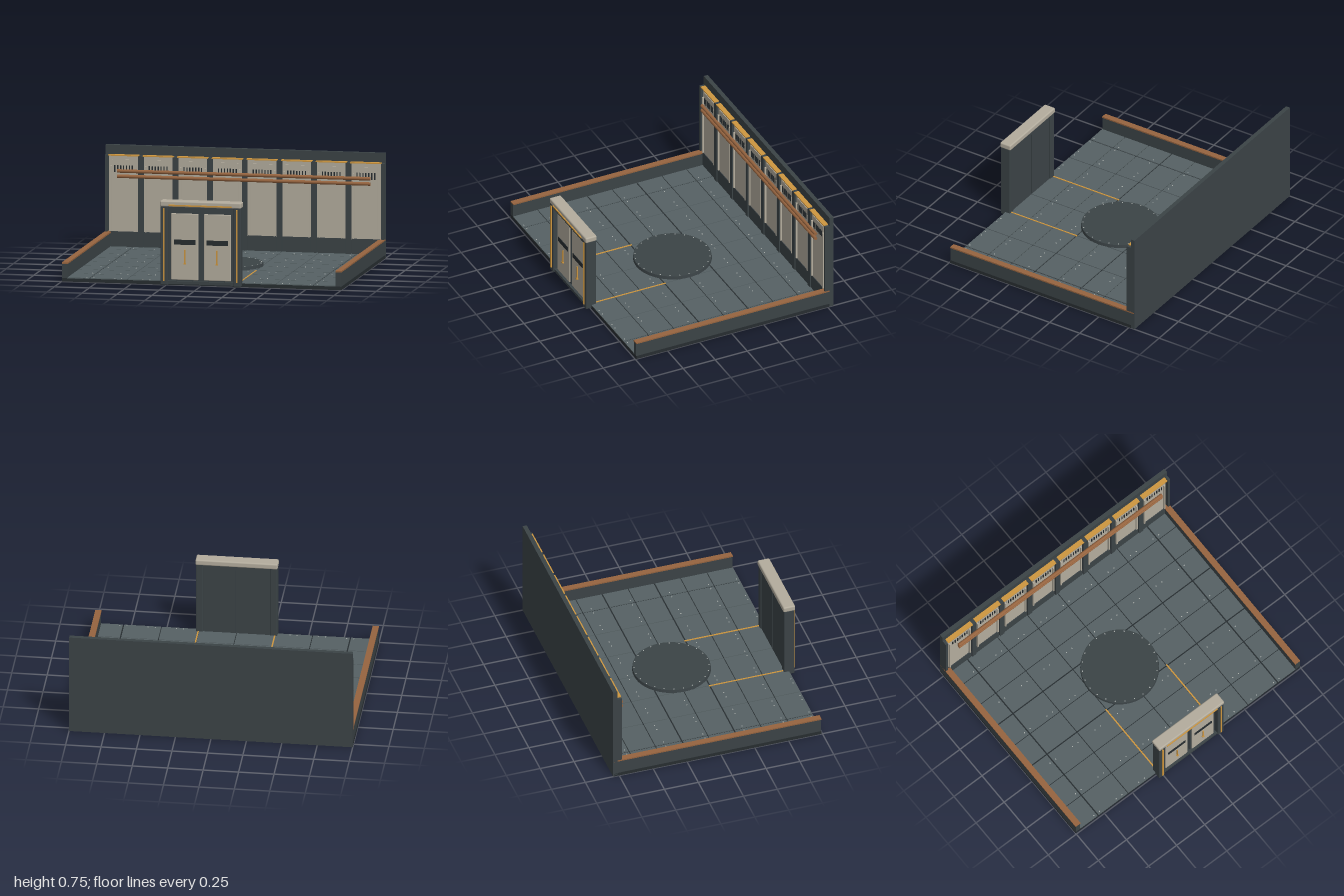
import * as THREE from 'three';
import { RoundedBoxGeometry } from 'three/addons/geometries/RoundedBoxGeometry.js';

const mat = (color) => new THREE.MeshStandardMaterial({ color });
const dark = mat(0x3b4346), darker = mat(0x272d30), floorMat = mat(0x566164), cream = mat(0xb3ac9d);
const copper = mat(0x96643f), gold = mat(0xcd963f), steel = mat(0xa8adaa);

export function createModel() {
  const root = new THREE.Group();

  const add = (parent, name, geometry, material, x = 0, y = 0, z = 0) => {
    const m = new THREE.Mesh(geometry, material);
    m.name = name;
    m.position.set(x, y, z);
    parent.add(m);
    return m;
  };
  // box given by its min and max on every axis
  const box = (parent, name, material, x0, x1, y0, y1, z0, z1, r = 0) => {
    const s = [x1 - x0, y1 - y0, z1 - z0];
    const g = r ? new RoundedBoxGeometry(...s, 2, r) : new THREE.BoxGeometry(...s);
    return add(parent, name, g, material, (x0 + x1) / 2, (y0 + y1) / 2, (z0 + z1) / 2);
  };
  const group = (name, parent = root) => {
    const g = new THREE.Group();
    g.name = name;
    parent.add(g);
    return g;
  };
  // many small studs as one instanced-looking set
  const studGeo = new THREE.CylinderGeometry(0.004, 0.005, 0.004, 8);

  // Floor: dark slab with plates separated by seams
  const floor = group('floor');
  box(floor, 'floorSlab', darker, -1, 1, 0, 0.024, -0.79, 0.742);
  const xs = [-0.958, -0.8, -0.533, -0.267, 0, 0.267, 0.533, 0.8, 0.958];
  const zs = [-0.765, -0.61, -0.417, -0.222, -0.03, 0.163, 0.356, 0.552, 0.742];
  const wideX = [1, 7], wideZ = [3, 5];
  const seam = (i, wide) => (i === 0 || i === 8 ? 0 : wide.includes(i) ? 0.005 : 0.003);
  for (let i = 0; i < 8; i++) for (let j = 0; j < 8; j++) {
    box(floor, 'floorPlate', floorMat,
      xs[i] + seam(i, wideX), xs[i + 1] - seam(i + 1, wideX), 0.02, 0.03,
      zs[j] + seam(j, wideZ), zs[j + 1] - seam(j + 1, wideZ));
  }

  // Paired floor studs, skipping those under the round platform
  for (let i = -4; i <= 4; i++) for (let j = 0; j < 6; j++) for (const s of [-1, 1]) {
    const x = i * 0.2 + s * 0.025, z = Math.min(-0.637 + j * 0.289, 0.725);
    if (Math.hypot(x, z + 0.03) > 0.29) add(floor, 'floorStud', studGeo, steel, x, 0.031, z);
  }

  // Round platform with a ring of studs
  const platform = group('roundPlatform');
  add(platform, 'platformDisc', new THREE.CylinderGeometry(0.274, 0.277, 0.026, 48), dark, 0, 0.04, -0.03);
  for (let k = 0; k < 24; k++) {
    const a = (k / 24) * Math.PI * 2;
    add(platform, 'platformStud', studGeo, steel, 0.263 * Math.cos(a), 0.054, -0.03 + 0.263 * Math.sin(a));
  }

  for (const s of [-1, 1]) {
    // Guide strips from the platform to the door
    box(floor, 'guideStrip', gold, s * 0.27 - 0.005, s * 0.27 + 0.005, 0.028, 0.033, 0.155, 0.71);
    // Low side walls with copper rails
    const side = group(s < 0 ? 'rightSideWall' : 'leftSideWall');
    box(side, 'sideWall', dark, s * 0.978 - 0.019, s * 0.978 + 0.019, 0.024, 0.125, -0.77, 0.742);
    box(side, 'sideRail', copper, s * 0.978 - 0.022, s * 0.978 + 0.022, 0.125, 0.135, -0.79, 0.742);
  }

  // Back wall with pilasters and eight panelled bays
  const wall = group('backWall');
  box(wall, 'wallSlab', dark, -1, 1, 0, 0.745, -0.795, -0.764);
  const bay = 0.2475;
  for (let i = -4; i <= 4; i++) {
    const w = Math.abs(i) === 4 ? 0.009 : 0.019;
    box(wall, 'pilaster', dark, i * bay - w, i * bay + w, 0.024, 0.675, -0.766, -0.729);
  }
  for (let i = 0; i < 8; i++) {
    const g = group('wallBay', wall);
    g.position.x = (i - 3.5) * bay;
    box(g, 'bayPanel', cream, -0.104, 0.104, 0.13, 0.67, -0.766, -0.745);
    box(g, 'raisedPanel', cream, -0.08, 0.08, 0.135, 0.645, -0.746, -0.74);
    box(g, 'bayPlinth', dark, -0.1, 0.1, 0.03, 0.137, -0.766, -0.735);
    box(g, 'bayTrim', gold, -0.11, 0.11, 0.672, 0.68, -0.766, -0.728);
    for (const s of [-1, 1]) {
      box(g, 'panelRib', cream, s * 0.089 - 0.005, s * 0.089 + 0.005, 0.137, 0.6, -0.746, -0.731);
    }
    for (let k = -3; k <= 3; k++) {
      box(g, 'ventSlot', darker, k * 0.021 - 0.004, k * 0.021 + 0.004, 0.558, 0.605, -0.741, -0.735);
    }
  }

  // Two pipes along the wall, held by brackets
  const pipes = group('wallPipes');
  const pipeGeo = new THREE.CylinderGeometry(0.0125, 0.0125, 1.81, 16).rotateZ(Math.PI / 2);
  for (const y of [0.57, 0.533]) add(pipes, 'pipe', pipeGeo, copper, 0, y, -0.703);

  // Front doorway
  const door = group('doorway');
  box(door, 'doorBacking', dark, -0.235, 0.235, 0.02, 0.56, 0.718, 0.742);
  box(door, 'doorHeader', dark, -0.24, 0.24, 0.53, 0.57, 0.712, 0.778);
  box(door, 'doorSill', dark, -0.24, 0.24, 0.012, 0.032, 0.712, 0.776);
  box(door, 'lintel', cream, -0.29, 0.29, 0.558, 0.6, 0.7, 0.788, 0.01);
  box(door, 'lintelStrip', gold, -0.225, 0.225, 0.565, 0.575, 0.784, 0.795);
  for (const s of [-1, 1]) {
    const span = (name, m, a, b, ...rest) =>
      box(door, name, m, Math.min(s * a, s * b), Math.max(s * a, s * b), ...rest);
    span('doorPost', dark, 0.235, 0.288, 0.002, 0.565, 0.705, 0.785, 0.008);
    span('postStrip', gold, 0.255, 0.265, 0.035, 0.55, 0.782, 0.793);
    // leaf frame, seen from both faces
    span('doorLeafFrame', dark, 0.006, 0.228, 0.03, 0.535, 0.712, 0.755);
    span('doorLeaf', cream, 0.02, 0.214, 0.04, 0.51, 0.75, 0.764, 0.005);
    span('doorWindow', darker, 0.04, 0.193, 0.29, 0.325, 0.76, 0.768);
    span('doorHandle', gold, 0.111, 0.118, 0.155, 0.255, 0.762, 0.773);
    span('handleFoot', gold, 0.106, 0.123, 0.152, 0.16, 0.762, 0.777);
  }

  return root;
}
